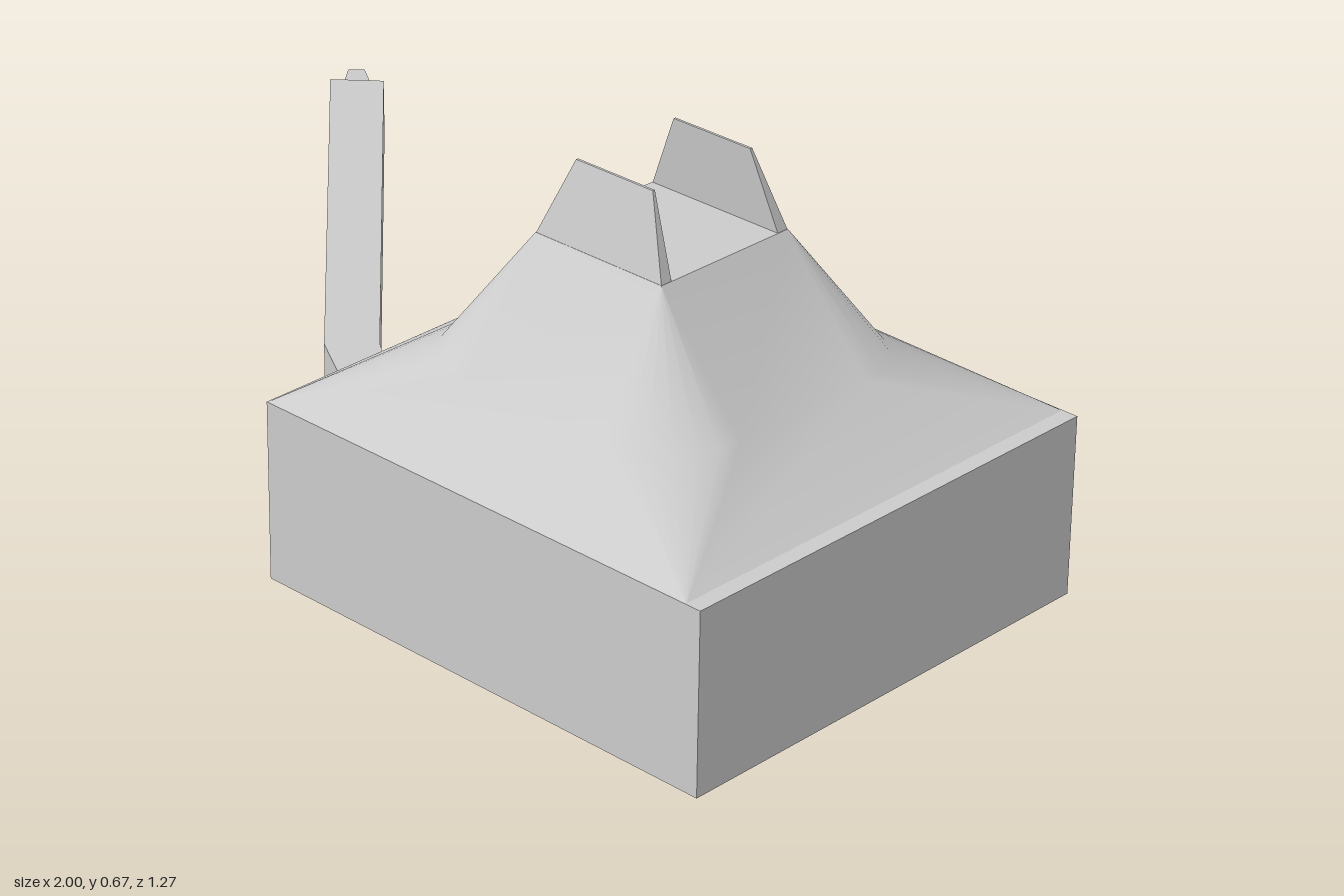
import * as THREE from 'three';

const material = (flat) => new THREE.MeshStandardMaterial({ color: 0xcccccc, flatShading: flat, side: THREE.DoubleSide });

// Skin matching rings of points; the end caps keep their own vertices so their rims stay sharp
function loft(name, rings, flat) {
  const n = rings[0].length;
  const first = rings[0], last = rings[rings.length - 1];
  const points = [...rings, first, last].flat();
  const index = [];
  for (let i = 0; i < rings.length - 1; i++) {
    for (let j = 0; j < n; j++) {
      const a = i * n + j, b = i * n + (j + 1) % n;
      index.push(a, b, b + n, a, b + n, a + n);
    }
  }
  const c = rings.length * n;
  for (let j = 1; j < n - 1; j++) {
    index.push(c, c + j + 1, c + j);
    index.push(c + n, c + n + j, c + n + j + 1);
  }
  const geometry = new THREE.BufferGeometry();
  geometry.setAttribute('position', new THREE.Float32BufferAttribute(points.flat(), 3));
  geometry.setIndex(index);
  geometry.computeVertexNormals();
  const mesh = new THREE.Mesh(geometry, material(flat));
  mesh.name = name;
  return mesh;
}

// Horizontal rounded rectangle, counter-clockwise from above
function roundedRing(x0, x1, z0, z1, y, r, steps = 6) {
  const corners = [[x1 - r, z0 + r], [x0 + r, z0 + r], [x0 + r, z1 - r], [x1 - r, z1 - r]];
  return corners.flatMap(([cx, cz], k) =>
    Array.from({ length: steps + 1 }, (_, i) => {
      const a = (k + i / steps) * Math.PI / 2;
      return [cx + r * Math.cos(a), y, cz - r * Math.sin(a)];
    }));
}

// Upright four-cornered section between two plan points
const armSection = ([ux, uz, lx, lz, bottom, top]) =>
  [[ux, bottom, uz], [lx, bottom, lz], [lx, top, lz], [ux, top, uz]];

export function createModel() {
  const model = new THREE.Group();

  // Square base block
  const base = new THREE.Mesh(new THREE.BoxGeometry(0.835, 0.285, 0.775), material(true));
  base.position.set(0.5825, 0.1425, 0.2475);
  base.name = 'base';
  model.add(base);

  // Flared roof rising to a small flat top
  model.add(loft('roof', [
    roundedRing(0.165, 0.975, -0.14, 0.635, 0.284, 0),
    roundedRing(0.30, 0.83, -0.012, 0.505, 0.373, 0.13),
    roundedRing(0.44, 0.68, 0.12, 0.375, 0.555, 0),
  ], false));

  // Two tapering prongs leaning in over the flat top
  const prongs = [
    ['frontProng', 0.355, 0.375, 0.343, 0.347],
    ['backProng', 0.12, 0.14, 0.148, 0.152],
  ];
  for (const [name, z0, z1, topZ0, topZ1] of prongs) {
    model.add(loft(name, [
      roundedRing(0.44, 0.68, z0, z1, 0.553, 0, 1),
      roundedRing(0.49, 0.635, topZ0, topZ1, 0.673, 0, 1),
    ], true));
  }

  // Bent arm: flared root, elbow, long run and pinched tip
  model.add(loft('arm', [
    [0.167, 0.0, 0.167, 0.43, 0.005, 0.27],
    [0.16, 0.155, 0.16, 0.33, 0.005, 0.20],
    [0.11, 0.20, 0.11, 0.29, 0.01, 0.115],
    [-0.05, 0.20, -0.05, 0.29, 0.01, 0.115],
    [-0.10, 0.165, -0.16, 0.225, 0.01, 0.115],
    [-0.82, -0.53, -0.89, -0.47, 0.01, 0.115],
    [-0.915, -0.59, -0.95, -0.555, 0.01, 0.06],
    [-0.98, -0.635, -1.0, -0.615, 0.01, 0.055],
  ].map(armSection), true));

  return model;
}
